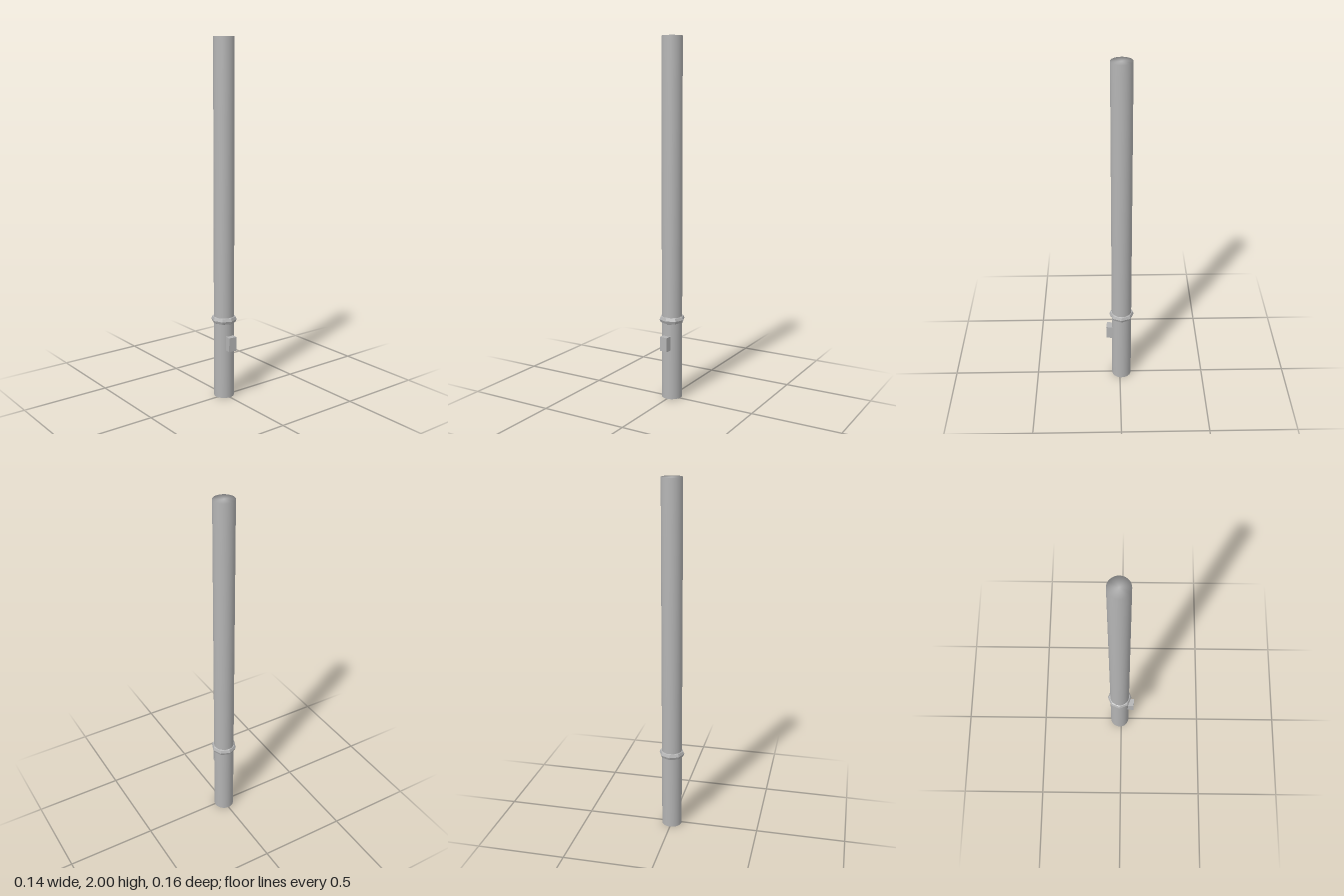
import * as THREE from 'three';
import { mergeVertices } from 'three/addons/utils/BufferGeometryUtils.js';

export function createModel() {
  const model = new THREE.Group();
  const grey = new THREE.MeshStandardMaterial({ color: 0xb4b4b4 });
  grey.name = 'grey';

  const add = (name, geometry, x, y, z) => {
    const mesh = new THREE.Mesh(geometry, grey);
    mesh.name = name;
    mesh.position.set(x, y, z);
    model.add(mesh);
    return mesh;
  };

  // Long shaft, with normals smoothed over the rims of its flat ends
  let shaft = new THREE.CylinderGeometry(0.057, 0.057, 2, 32);
  shaft.deleteAttribute('normal');
  shaft.deleteAttribute('uv');
  shaft = mergeVertices(shaft);
  shaft.computeVertexNormals();
  add('shaft', shaft, 0, 1, -0.01);

  // Faceted eight-sided collar between grip and shaft
  const collar = new THREE.TorusGeometry(0.05, 0.022, 8, 8).rotateX(Math.PI / 2).toNonIndexed();
  collar.computeVertexNormals();
  add('collar', collar, 0, 0.453, -0.01);

  // Slightly turned switch block on the front of the grip
  const button = add('button', new THREE.BoxGeometry(0.047, 0.08, 0.05), -0.003, 0.325, 0.053);
  button.rotation.y = -0.09;

  return model;
}
